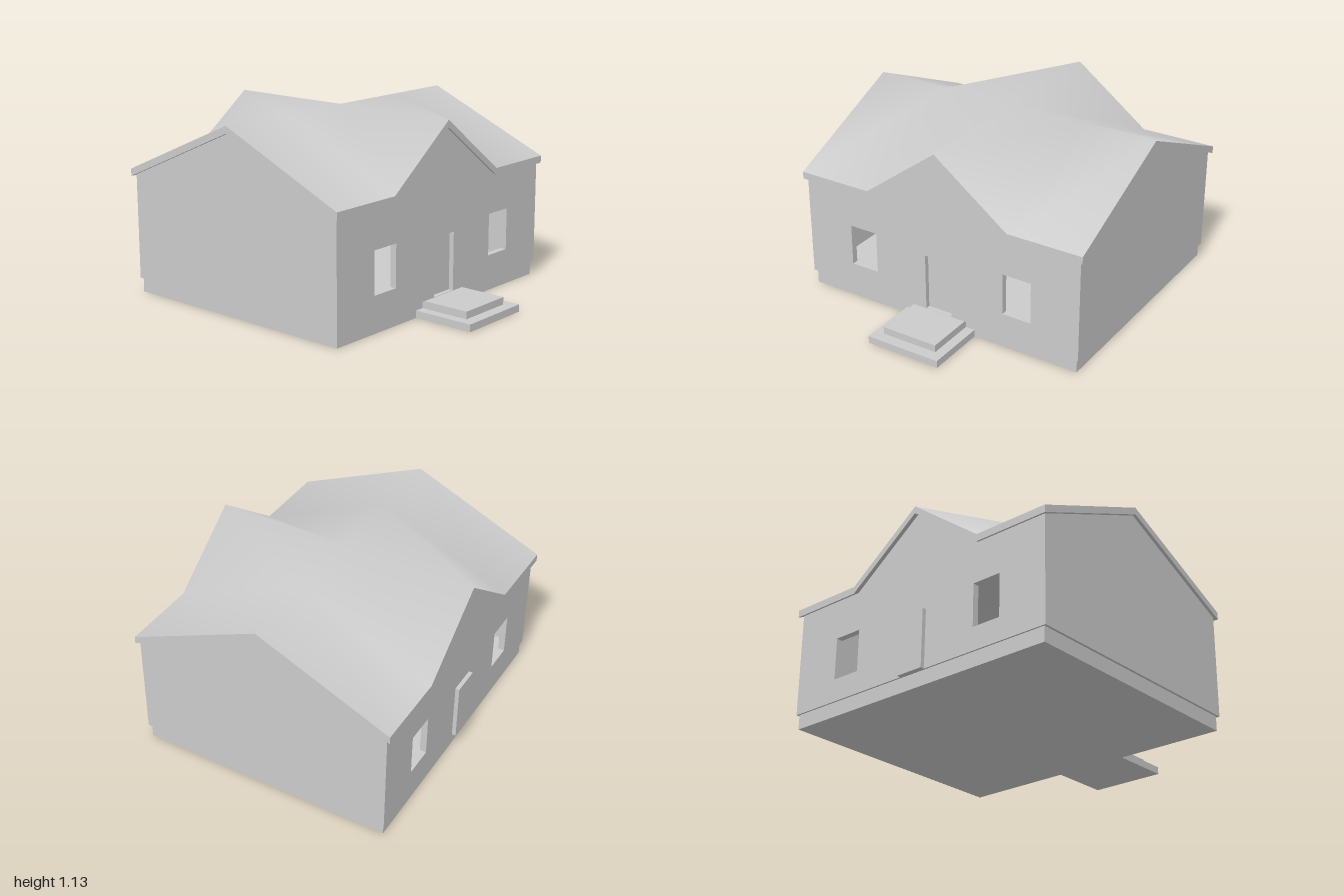
import * as THREE from 'three';

const material = new THREE.MeshStandardMaterial({ color: 0xcccccc });

const MID_Z = -0.175; // ridge line of the house
const HALF_W = 0.96, HALF_D = 0.825; // half extents of the roof
const EAVE = 0.77, RISE = 0.36, THICK = 0.045;

// Height of the crossed gables at a roof grid point
function roofHeight(x, z) {
  const alongX = 1 - Math.abs(z - MID_Z) / HALF_D;
  const alongZ = 1 - Math.abs(x) / (HALF_W / 2);
  return EAVE + RISE * Math.max(alongX, alongZ);
}

function addMesh(parent, name, geometry) {
  const mesh = new THREE.Mesh(geometry, material);
  mesh.name = name;
  parent.add(mesh);
  return mesh;
}

// Box given by its two opposite corners
function addBlock(parent, name, [x0, y0, z0], [x1, y1, z1]) {
  const mesh = addMesh(parent, name, new THREE.BoxGeometry(x1 - x0, y1 - y0, z1 - z0));
  mesh.position.set((x0 + x1) / 2, (y0 + y1) / 2, (z0 + z1) / 2);
  return mesh;
}

function rectHole(x0, y0, x1, y1) {
  return new THREE.Path([[x0, y0], [x0, y1], [x1, y1], [x1, y0]].map(p => new THREE.Vector2(...p)));
}

function wallGeometry(points, holes, depth) {
  const shape = new THREE.Shape(points.map(p => new THREE.Vector2(...p)));
  shape.holes.push(...holes);
  return new THREE.ExtrudeGeometry(shape, { depth, bevelEnabled: false });
}

function createRoof() {
  const roof = new THREE.Group();
  roof.name = 'roof';

  // Smooth top surface: a 4 x 2 grid lifted to the gable heights
  const top = new THREE.PlaneGeometry(2 * HALF_W, 2 * HALF_D, 4, 2);
  top.rotateX(-Math.PI / 2).translate(0, 0, MID_Z);
  const pos = top.attributes.position;
  for (let i = 0; i < pos.count; i++) pos.setY(i, roofHeight(pos.getX(i), pos.getZ(i)));
  top.computeVertexNormals();
  addMesh(roof, 'roofTop', top);

  // Underside: the same surface lowered and turned over
  const under = top.clone().translate(0, -THICK, 0);
  under.setIndex(Array.from(top.index.array).reverse());
  under.computeVertexNormals();
  addMesh(roof, 'roofUnderside', under);

  // Fascia closing the rim all the way round
  const zf = MID_Z + HALF_D, zb = MID_Z - HALF_D;
  const xs = [-1, -0.5, 0, 0.5, 1].map(k => k * HALF_W);
  const rim = [
    ...xs.map(x => [x, zf]), [HALF_W, MID_Z],
    ...xs.map(x => [-x, zb]), [-HALF_W, MID_Z],
  ];
  const verts = [];
  rim.forEach(([x0, z0], i) => {
    const [x1, z1] = rim[(i + 1) % rim.length];
    const a = [x0, roofHeight(x0, z0), z0], b = [x1, roofHeight(x1, z1), z1];
    const al = [a[0], a[1] - THICK, a[2]], bl = [b[0], b[1] - THICK, b[2]];
    verts.push(...al, ...bl, ...b, ...al, ...b, ...a);
  });
  const fascia = new THREE.BufferGeometry();
  fascia.setAttribute('position', new THREE.Float32BufferAttribute(verts, 3));
  fascia.computeVertexNormals();
  addMesh(roof, 'fascia', fascia);
  return roof;
}

export function createModel() {
  const house = new THREE.Group();
  house.name = 'house';
  const W = 0.94, FRONT = 0.63, BACK = -0.975, FLOOR = 0.09, T = 0.04;

  // Foundation and entrance steps
  addBlock(house, 'foundation', [-0.925, 0, -0.965], [0.925, FLOOR, 0.615]);
  addBlock(house, 'lowerStep', [-0.24, 0, 0.6], [0.24, 0.045, 1]);
  addBlock(house, 'upperStep', [-0.18, 0.045, 0.6], [0.18, FLOOR, 0.93]);

  // Front and back walls with a central gable and two window openings
  const gable = [[-W, FLOOR], [W, FLOOR], [W, 0.74], [0.47, 0.74], [0, 1.09], [-0.47, 0.74], [-W, 0.74]];
  const windows = () => [-1, 1].map(s => rectHole(s * 0.535 - 0.093, 0.23, s * 0.535 + 0.093, 0.49));
  const doorHole = rectHole(-0.09, FLOOR + 0.002, 0.09, 0.45);
  addMesh(house, 'frontWall', wallGeometry(gable, [...windows(), doorHole], T)).position.z = FRONT - T;
  addMesh(house, 'backWall', wallGeometry(gable, windows(), T)).position.z = BACK;

  // Gabled side walls, drawn in z and turned to face sideways
  const side = [[-FRONT, FLOOR], [-BACK, FLOOR], [-BACK, 0.745], [-MID_Z, 1.09], [-FRONT, 0.745]];
  for (const s of [1, -1]) {
    const wall = addMesh(house, s > 0 ? 'leftWall' : 'rightWall', wallGeometry(side, [], T));
    wall.rotation.y = Math.PI / 2;
    wall.position.x = s > 0 ? W - T : -W;
  }

  // Recessed front door and projecting back door
  addBlock(house, 'frontDoor', [-0.09, FLOOR, 0.575], [0.09, 0.45, 0.6]);
  addBlock(house, 'backDoor', [-0.09, FLOOR, -1], [0.09, 0.45, BACK + 0.01]);

  house.add(createRoof());
  return house;
}
